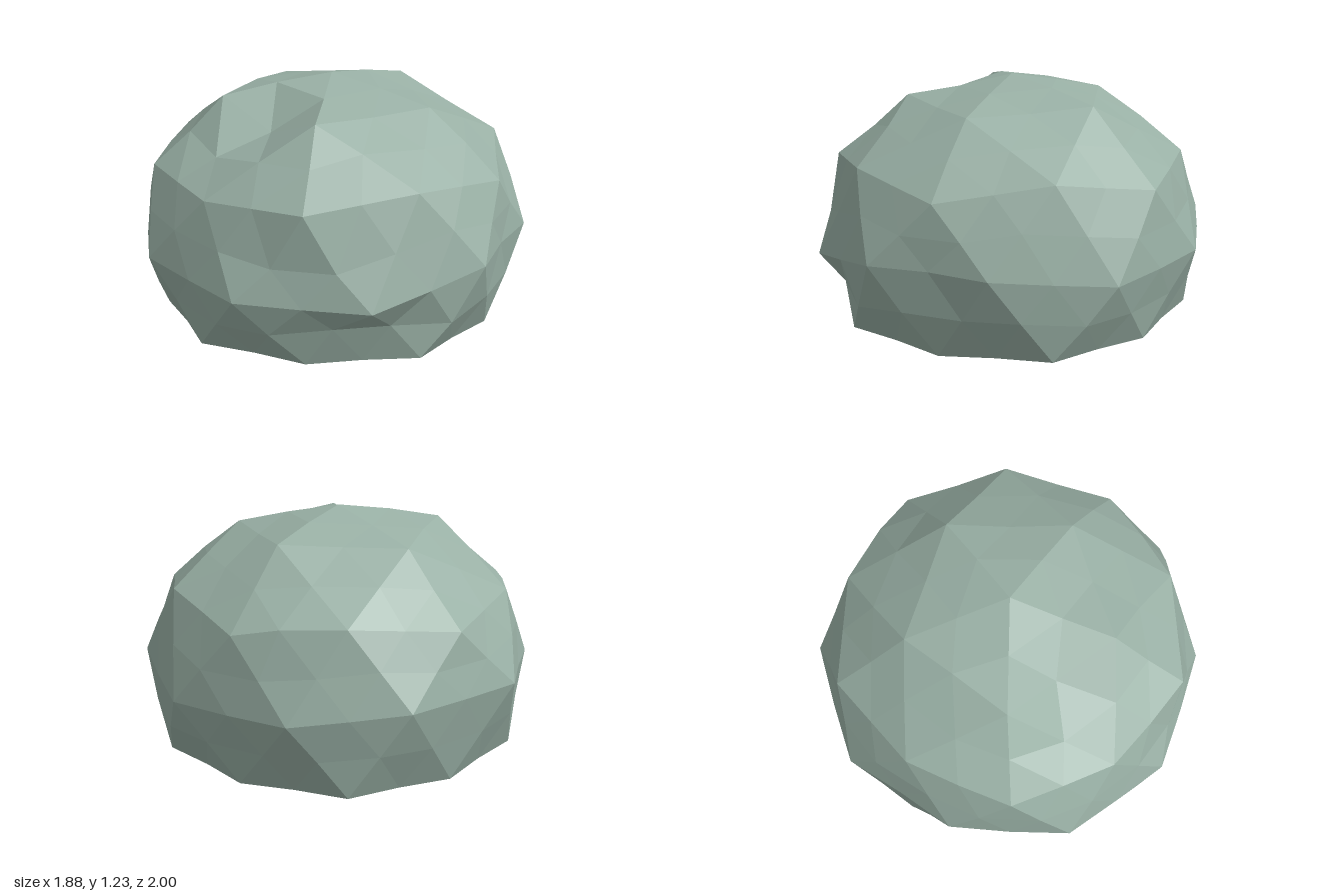
import * as THREE from 'three';

// Local bumps and dents: the vertex nearest to the first point moves to the second
const NUDGES = [
  // widest ring
  [[0, 0.45, 1], [0, 0.48, 1]],
  [[0, 0.45, -1], [0, 0.49, -1]],
  [[0.59, 0.45, 0.81], [0.57, 0.485, 0.8]],
  [[0.59, 0.45, -0.81], [0.6, 0.49, -0.79]],
  [[-0.59, 0.45, 0.81], [-0.57, 0.36, 0.81]],
  [[-0.59, 0.45, -0.81], [-0.56, 0.45, -0.79]],
  [[0.95, 0.45, 0.31], [0.935, 0.42, 0.32]],
  [[0.95, 0.45, -0.31], [0.92, 0.43, -0.32]],
  [[-0.95, 0.45, 0.31], [-0.94, 0.37, 0.28]],
  [[-0.95, 0.45, -0.31], [-0.94, 0.42, -0.32]],
  // shoulders and crown
  [[-0.85, 0.86, 0], [-0.85, 0.77, 0]],
  [[-0.43, 1.11, -0.31], [-0.43, 1.13, -0.33]],
  [[0.53, 1.11, 0], [0.52, 1.14, 0]],
  [[0.69, 0.86, 0.5], [0.7, 0.89, 0.49]],
  [[-0.13, 1.12, -0.41], [-0.12, 1.14, -0.42]],
  [[0.8, 0.83, -0.25], [0.82, 0.845, -0.22]],
  // dent near the top and the hollow beside it
  [[-0.43, 1.12, -0.01], [-0.4, 1.0, -0.02]],
  [[-0.64, 0.95, -0.16], [-0.64, 0.9, -0.15]],
  // chips on the front
  [[-0.35, 0.99, 0.56], [-0.34, 1.0, 0.53]],
  [[-0.65, 0.58, 0.67], [-0.645, 0.535, 0.66]],
  [[-0.83, 0.585, 0.4], [-0.81, 0.535, 0.4]],
  [[-0.42, 0.21, 0.83], [-0.41, 0.245, 0.78]],
  [[-0.63, 0.195, 0.655], [-0.63, 0.245, 0.62]],
  [[-0.14, 0.27, 0.925], [-0.15, 0.22, 0.93]],
  [[0.285, 0.485, 0.9], [0.275, 0.485, 0.88]],
].map((pair) => pair.map((p) => new THREE.Vector3(...p)));

function nudge(v) {
  const hit = NUDGES.find(([from]) => from.distanceTo(v) < 0.05);
  return hit ? v.copy(hit[1]) : v;
}

// Squash the unit sphere and flatten its underside
function shape(n) {
  const y = n.y < -0.4 ? 0.055 - 0.1 * (-n.y - 0.447) : 0.45 + 0.78 * n.y;
  return nudge(new THREE.Vector3(n.x, y, n.z));
}

// Repeatable value in -1..1, the same for every face sharing the point
function hash(v) {
  const [a, b, c] = v.toArray().map((k) => Math.round(k * 500));
  const s = Math.sin(a * 12.9898 + b * 78.233 + c * 37.719) * 43758.5453;
  return (s - Math.floor(s)) * 2 - 1;
}

// Edge midpoint, roughened along its outward direction
function middle(a, b) {
  const m = a.clone().add(b).multiplyScalar(0.5);
  if (m.y < 0.1) return m.set(m.x * 0.985, m.y, m.z * 0.985);
  const out = new THREE.Vector3(m.x, m.y - 0.45, m.z).normalize();
  const moved = nudge(m.clone());
  return moved.equals(m) ? m.addScaledVector(out, 0.012 * hash(m)) : moved;
}

function boulderGeometry() {
  // Icosphere turned so that one of its corners is the pole
  const ball = new THREE.IcosahedronGeometry(1, 1);
  ball.rotateZ(-Math.atan(2 / (1 + Math.sqrt(5))));
  const pos = ball.attributes.position;
  const points = [];
  const corner = (i) => shape(new THREE.Vector3().fromBufferAttribute(pos, i));

  // Split each face in four rough facets
  for (let i = 0; i < pos.count; i += 3) {
    const [a, b, c] = [corner(i), corner(i + 1), corner(i + 2)];
    const [ab, bc, ca] = [middle(a, b), middle(b, c), middle(c, a)];
    points.push(a, ab, ca, ab, b, bc, ca, bc, c, ab, bc, ca);
  }
  const geometry = new THREE.BufferGeometry().setFromPoints(points);
  geometry.computeVertexNormals();
  return geometry;
}

export function createModel() {
  const stone = new THREE.MeshStandardMaterial({ color: 0x99b0a5, flatShading: true });
  stone.name = 'greyGreenStone';

  const boulder = new THREE.Mesh(boulderGeometry(), stone);
  boulder.name = 'boulder';

  const group = new THREE.Group();
  group.name = 'rock';
  group.add(boulder);
  return group;
}
